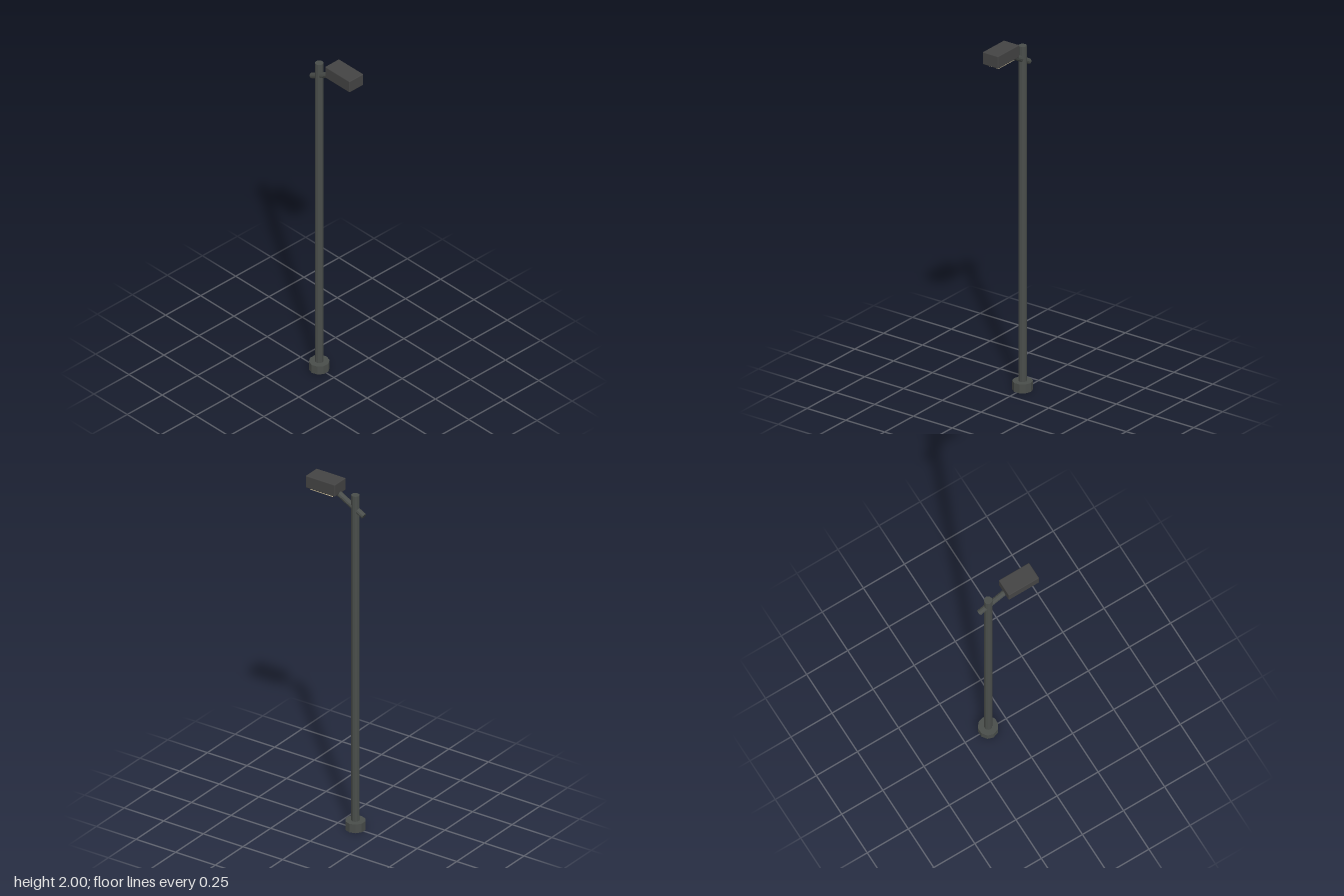
import * as THREE from 'three';
import { RoundedBoxGeometry } from 'three/addons/geometries/RoundedBoxGeometry.js';

const POLE_X = -0.11;

export function createModel() {
  const group = new THREE.Group();
  const poleMetal = new THREE.MeshStandardMaterial({ color: 0x4a4e4b, flatShading: true });
  const headMetal = new THREE.MeshStandardMaterial({ color: 0x444444 });
  const glass = new THREE.MeshStandardMaterial({ color: 0xe0d0a8 });

  function add(name, geometry, material, x, y, z = 0) {
    const mesh = new THREE.Mesh(geometry, material);
    mesh.name = name;
    mesh.position.set(x, y, z);
    group.add(mesh);
    return mesh;
  }

  // Ten-sided foot and slim straight pole
  add('base', new THREE.CylinderGeometry(0.054, 0.054, 0.05, 10), poleMetal, POLE_X, 0.025);
  add('pole', new THREE.CylinderGeometry(0.022, 0.022, 1.95, 12), poleMetal, POLE_X, 0.975);

  // Slanted arm passing through the pole up into the lamp head
  const from = new THREE.Vector3(-0.164, 1.841, 0);
  const to = new THREE.Vector3(0.012, 1.938, 0);
  const dir = to.clone().sub(from);
  const mid = from.clone().add(to).multiplyScalar(0.5);
  const arm = add('arm', new THREE.CylinderGeometry(0.016, 0.016, dir.length(), 10), poleMetal, mid.x, mid.y);
  arm.quaternion.setFromUnitVectors(new THREE.Vector3(0, 1, 0), dir.normalize());

  // Box-shaped lamp head with softened edges and a glass panel below
  add('lampHead', new RoundedBoxGeometry(0.185, 0.071, 0.1, 2, 0.005), headMetal, 0.0775, 1.9645);
  add('lampGlass', new THREE.BoxGeometry(0.14, 0.016, 0.072), glass, 0.0775, 1.926);

  return group;
}
